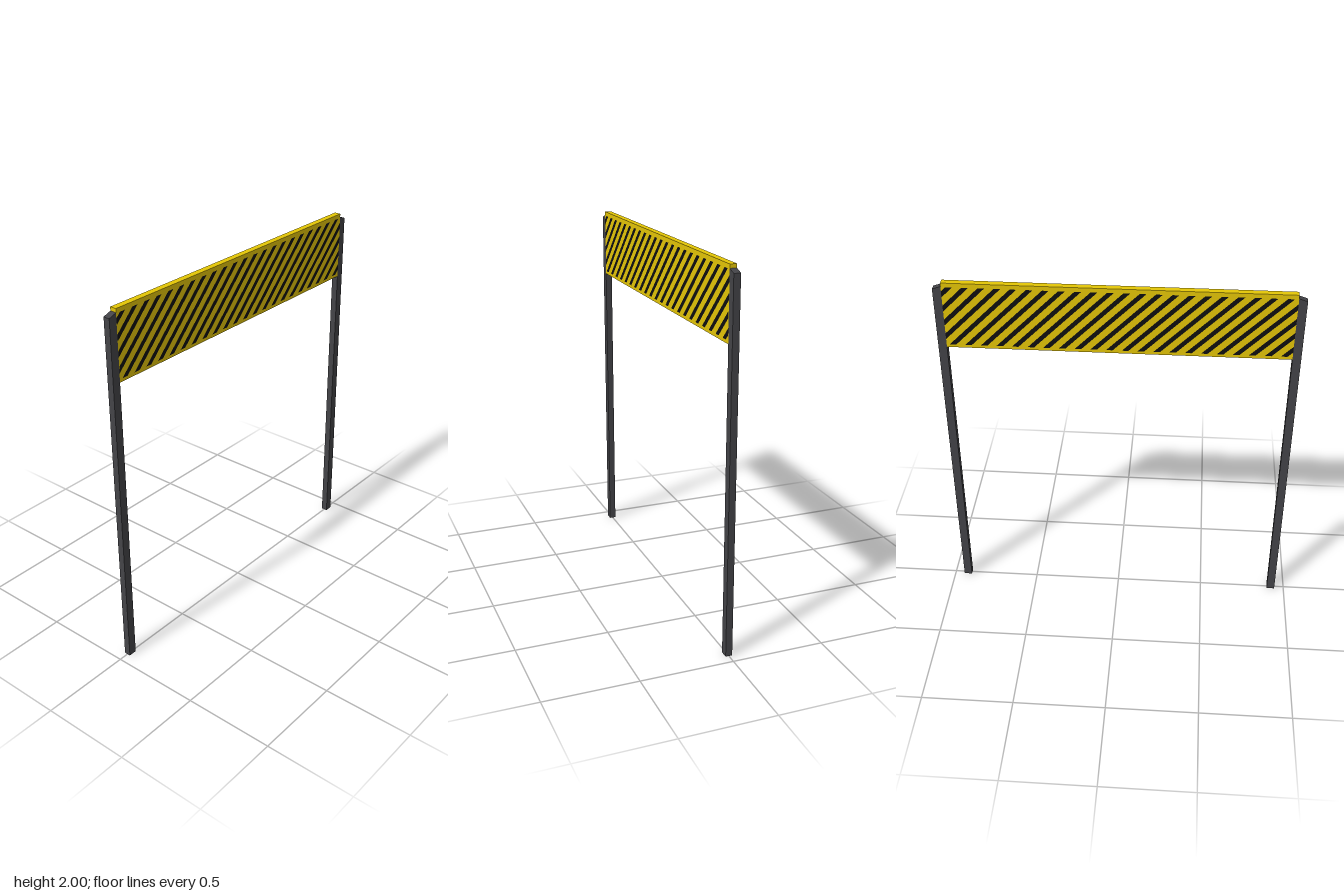
import * as THREE from 'three';

function material(name, color) {
  const m = new THREE.MeshStandardMaterial({ color });
  m.name = name;
  return m;
}

export function createModel() {
  const yellow = material('warningYellow', 0xe5c605);
  const black = material('stripeBlack', 0x0e0e10);
  const grey = material('postGrey', 0x444448);

  const model = new THREE.Group();
  model.name = 'heightBarrier';
  const width = 0.036, inner = 0.9, outer = 0.945;

  // Crossboard between the posts
  const board = new THREE.Mesh(new THREE.BoxGeometry(width, 0.375, inner * 2), yellow);
  board.name = 'crossboard';
  board.position.y = 1.8125;
  model.add(board);

  // Diagonal warning stripes, cut off at the ends of the board
  const bottom = 1.642, height = 0.335, pitch = 0.082, stripe = 0.034;
  const edge = (u) => {
    const from = Math.max(0, -inner - u), to = Math.min(height, inner - u);
    return [from, to].map((t) => new THREE.Vector2(u + t, bottom + t));
  };
  const stripes = [];
  for (let i = -4; i < 22; i++) {
    const u = -0.883 + i * pitch;
    const [a, b] = edge(u + stripe);
    const [d, c] = edge(u);
    if (c.x > d.x && b.x > a.x) stripes.push(new THREE.Shape([a, b, c, d]));
  }
  const stripeGeometry = new THREE.ShapeGeometry(stripes);
  for (const [name, side] of [['leftStripes', 1], ['rightStripes', -1]]) {
    const mesh = new THREE.Mesh(stripeGeometry, black);
    mesh.name = name;
    mesh.rotation.y = side * Math.PI / 2;
    mesh.position.x = side * (width / 2 + 0.001);
    model.add(mesh);
  }

  // Posts: side profile with a top that slopes down outwards
  const profile = new THREE.Shape([
    new THREE.Vector2(inner, 0),
    new THREE.Vector2(outer, 0),
    new THREE.Vector2(outer, 1.965),
    new THREE.Vector2(inner, 1.98),
  ]);
  const postGeometry = new THREE.ExtrudeGeometry(profile, { depth: width, bevelEnabled: false });
  postGeometry.translate(0, 0, -width / 2);
  for (const [name, turn] of [['frontPost', -1], ['backPost', 1]]) {
    const post = new THREE.Mesh(postGeometry, grey);
    post.name = name;
    post.rotation.y = turn * Math.PI / 2;
    model.add(post);
  }
  return model;
}
